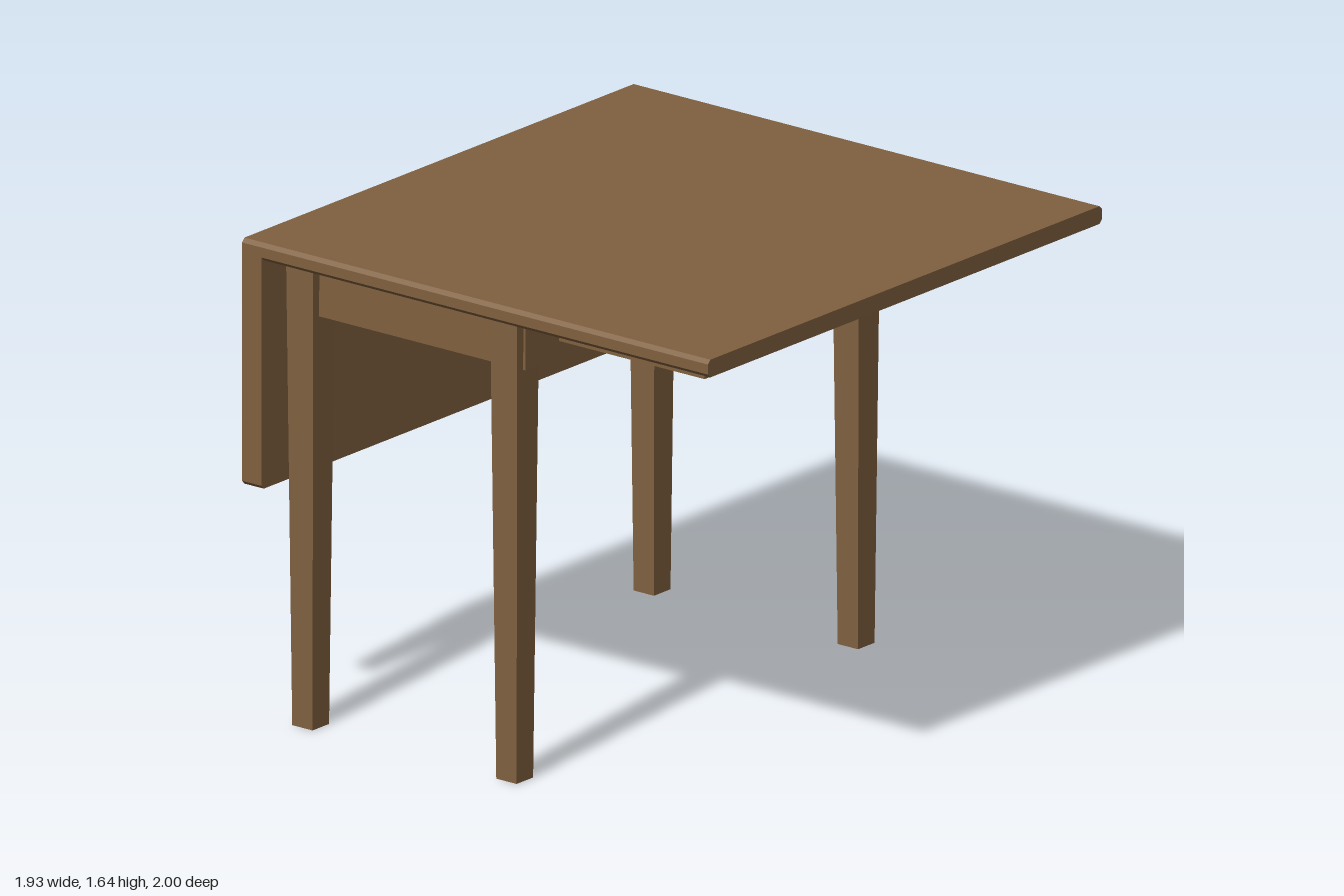
import * as THREE from 'three';

export function createModel() {
  const model = new THREE.Group();
  model.name = 'dropLeafTable';
  const wood = new THREE.MeshStandardMaterial({ color: 0x80603f });
  wood.name = 'brown wood';

  function add(name, geometry, x = 0, y = 0, z = 0) {
    const mesh = new THREE.Mesh(geometry, wood);
    mesh.name = name;
    mesh.position.set(x, y, z);
    model.add(mesh);
    return mesh;
  }

  // Box given by its limits
  function box(name, x0, x1, y0, y1, z0, z1) {
    return add(name, new THREE.BoxGeometry(x1 - x0, y1 - y0, z1 - z0),
      (x0 + x1) / 2, (y0 + y1) / 2, (z0 + z1) / 2);
  }

  // Board running along x, with its four long edges chamfered
  function board(name, x0, x1, y0, y1) {
    const c = 0.013;
    const shape = new THREE.Shape([
      [-1 + c, y0], [1 - c, y0], [1, y0 + c], [1, y1 - c],
      [1 - c, y1], [-1 + c, y1], [-1, y1 - c], [-1, y0 + c],
    ].map(([z, y]) => new THREE.Vector2(z, y)));
    const geometry = new THREE.ExtrudeGeometry(shape, { depth: x1 - x0, bevelEnabled: false });
    geometry.rotateY(Math.PI / 2);
    return add(name, geometry, x0);
  }

  // Table top and the leaf hanging at one end
  board('tableTop', -0.885, 0.962, 1.583, 1.643);
  board('hangingLeaf', -0.965, -0.885, 0.81, 1.643);

  // Apron frame
  const t = 0.07;
  box('leafEndApron', -0.855, -0.855 + t, 1.4, 1.583, -0.89, 0.89);
  box('supportEndApron', 0.118 - t, 0.118, 1.4, 1.583, -0.89, 0.89);
  for (const s of [-1, 1]) {
    const z = s * (0.89 - t / 2);
    box('sideApron', -0.855 + t, 0.118 - t, 1.4, 1.583, z - t / 2, z + t / 2);

    // Sliding supports under the raised leaf
    box('leafSupport', 0.118, 0.72, 1.455, 1.547, s * 0.667 - 0.053, s * 0.667 + 0.053);

    // Square legs, tapering towards the floor
    for (const x of [-0.79, 0.054]) {
      const leg = new THREE.CylinderGeometry(0.056 * Math.SQRT2, 0.042 * Math.SQRT2, 1.583, 4, 1)
        .rotateY(Math.PI / 4).toNonIndexed();
      leg.computeVertexNormals();
      add('taperedLeg', leg, x, 1.583 / 2, s * 0.866);
    }
  }
  return model;
}
